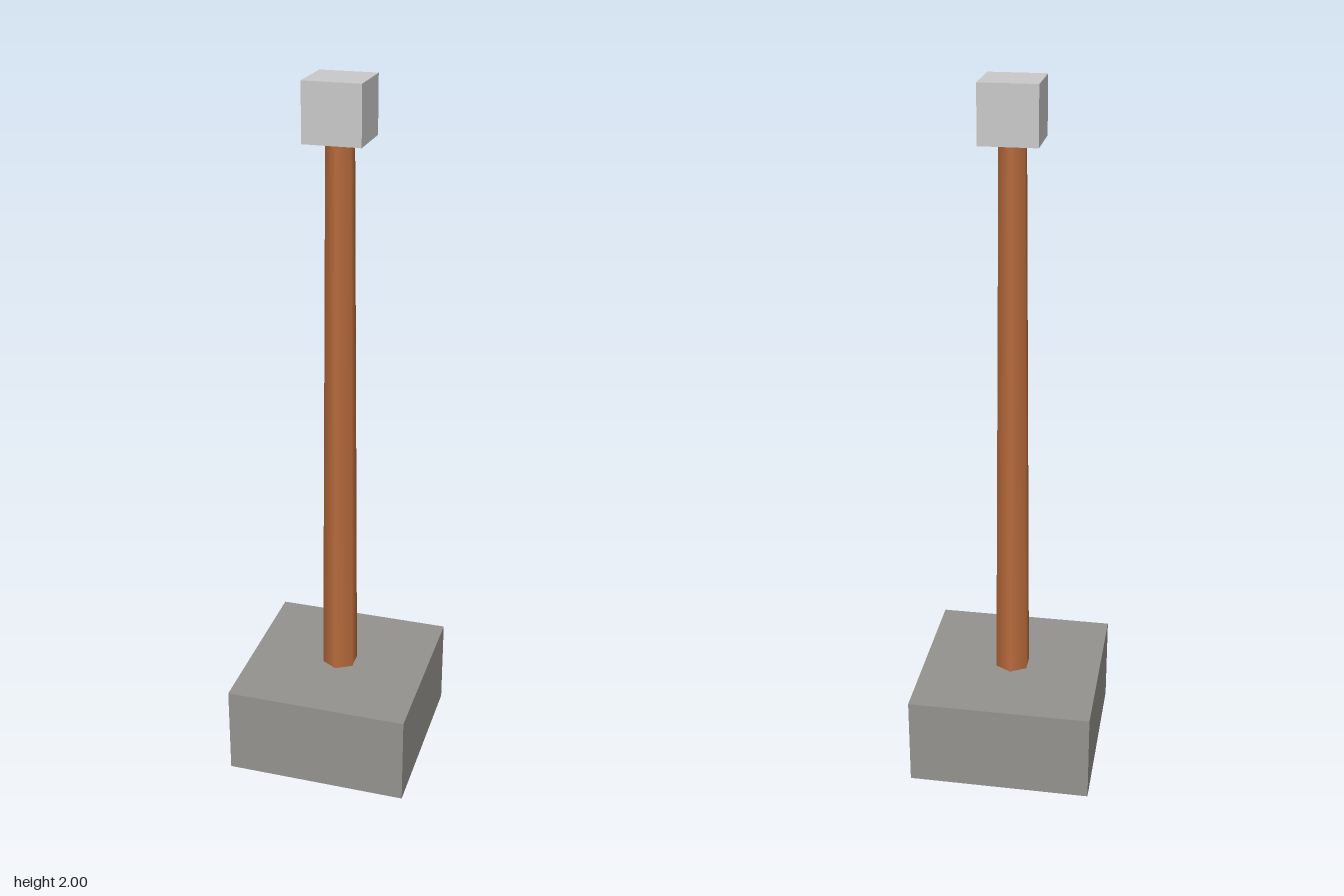
import * as THREE from 'three';

// Proportions are multiples of one unit: base 1 x 0.5, pole 3, cap 0.3
const U = 2 / 3.8;

export function createModel() {
  const group = new THREE.Group();
  group.name = 'post';

  const stone = new THREE.MeshStandardMaterial({ color: 0x95938e });
  stone.name = 'stone grey';
  const copper = new THREE.MeshStandardMaterial({ color: 0xb86b3c });
  copper.name = 'copper brown';
  const pale = new THREE.MeshStandardMaterial({ color: 0xcacaca });
  pale.name = 'pale grey';

  const add = (name, geometry, material, y) => {
    const mesh = new THREE.Mesh(geometry, material);
    mesh.name = name;
    mesh.position.y = y * U;
    group.add(mesh);
  };

  // Square foot block
  add('base', new THREE.BoxGeometry(U, 0.5 * U, U), stone, 0.25);
  // Tapered six-sided pole with smooth sides
  add('pole', new THREE.CylinderGeometry(0.075 * U, 0.1 * U, 3 * U, 6), copper, 2);
  // Cube on top
  add('cap', new THREE.BoxGeometry(0.3 * U, 0.3 * U, 0.3 * U), pale, 3.65);

  return group;
}
